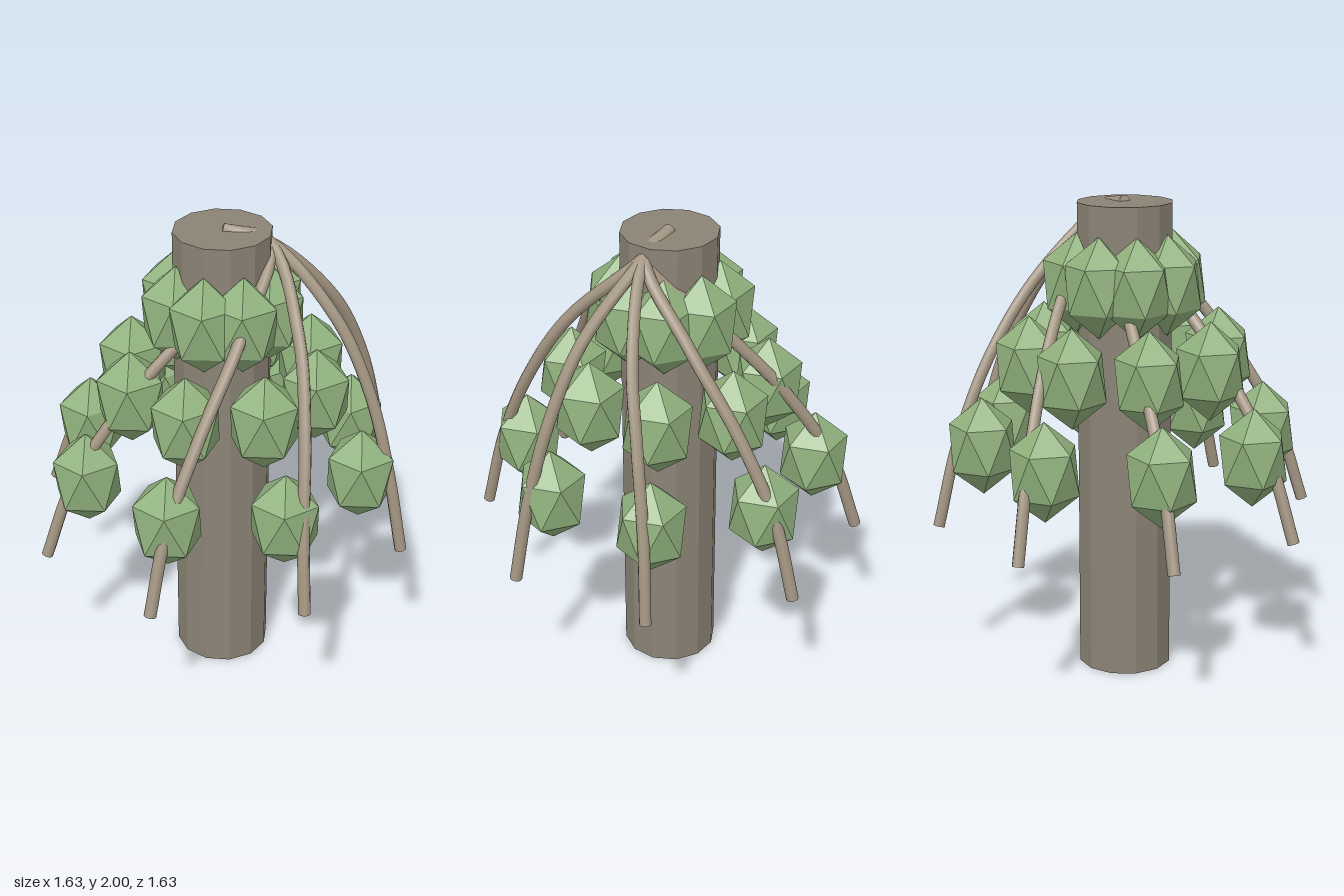
import * as THREE from 'three';

export function createModel() {
  const model = new THREE.Group();
  const bark = new THREE.MeshStandardMaterial({ color: 0x8b8375, flatShading: true });
  const twig = new THREE.MeshStandardMaterial({ color: 0xa39582 });
  const leaf = new THREE.MeshStandardMaterial({ color: 0x8fb07c, flatShading: true });

  const add = (name, geometry, material, parent = model) => {
    const mesh = new THREE.Mesh(geometry, material);
    mesh.name = name;
    parent.add(mesh);
    return mesh;
  };

  // Twelve-sided trunk
  const trunkHeight = 1.975;
  add('trunk', new THREE.CylinderGeometry(0.198, 0.198, trunkHeight, 12), bark).position.y = trunkHeight / 2;

  // Leaf cluster: a tall icosahedron standing on one corner, an upper corner facing +x
  const clusterGeometry = new THREE.IcosahedronGeometry(1, 0)
    .rotateX(-Math.atan((1 + Math.sqrt(5)) / 2))
    .rotateY(Math.PI / 2)
    .scale(0.153, 0.205, 0.153);
  const tiers = [[0.2, 1.65], [0.4, 1.32], [0.6, 0.99]]; // radius, height

  // Every branch leaves the trunk at the same spot, then fans out: [radius, x, y, z]
  const path = [
    [0, 0, 1.975, 0],
    [0, 0.17, 1.925, -0.06],
    [0.29, 0.17, 1.65, -0.045],
    [0.52, 0.1, 1.34, -0.03],
    [0.69, 0.03, 1.0, -0.01],
    [0.79, 0, 0.66, 0],
  ];

  for (let i = 0; i < 8; i++) {
    const angle = (i * Math.PI) / 4;
    const c = Math.cos(angle), s = Math.sin(angle);
    const limb = new THREE.Group();
    limb.name = 'limb';
    model.add(limb);

    // Drooping branch with closed ends
    const curve = new THREE.CatmullRomCurve3(
      path.map(([r, x, y, z]) => new THREE.Vector3(x + r * c, y, z + r * s)));
    add('branch', new THREE.TubeGeometry(curve, 28, 0.025, 8), twig, limb);
    for (const t of [0, 1]) {
      const cap = add('branchEnd', new THREE.CircleGeometry(0.025, 8), twig, limb);
      const outward = curve.getTangent(t).multiplyScalar(t ? 1 : -1);
      cap.position.copy(curve.getPoint(t));
      cap.quaternion.setFromUnitVectors(new THREE.Vector3(0, 0, 1), outward);
    }

    // Three leaf clusters stepping down and outward
    for (const [r, y] of tiers) {
      add('leafCluster', clusterGeometry, leaf, limb).position.set(r * c, y, r * s);
    }
  }
  return model;
}
